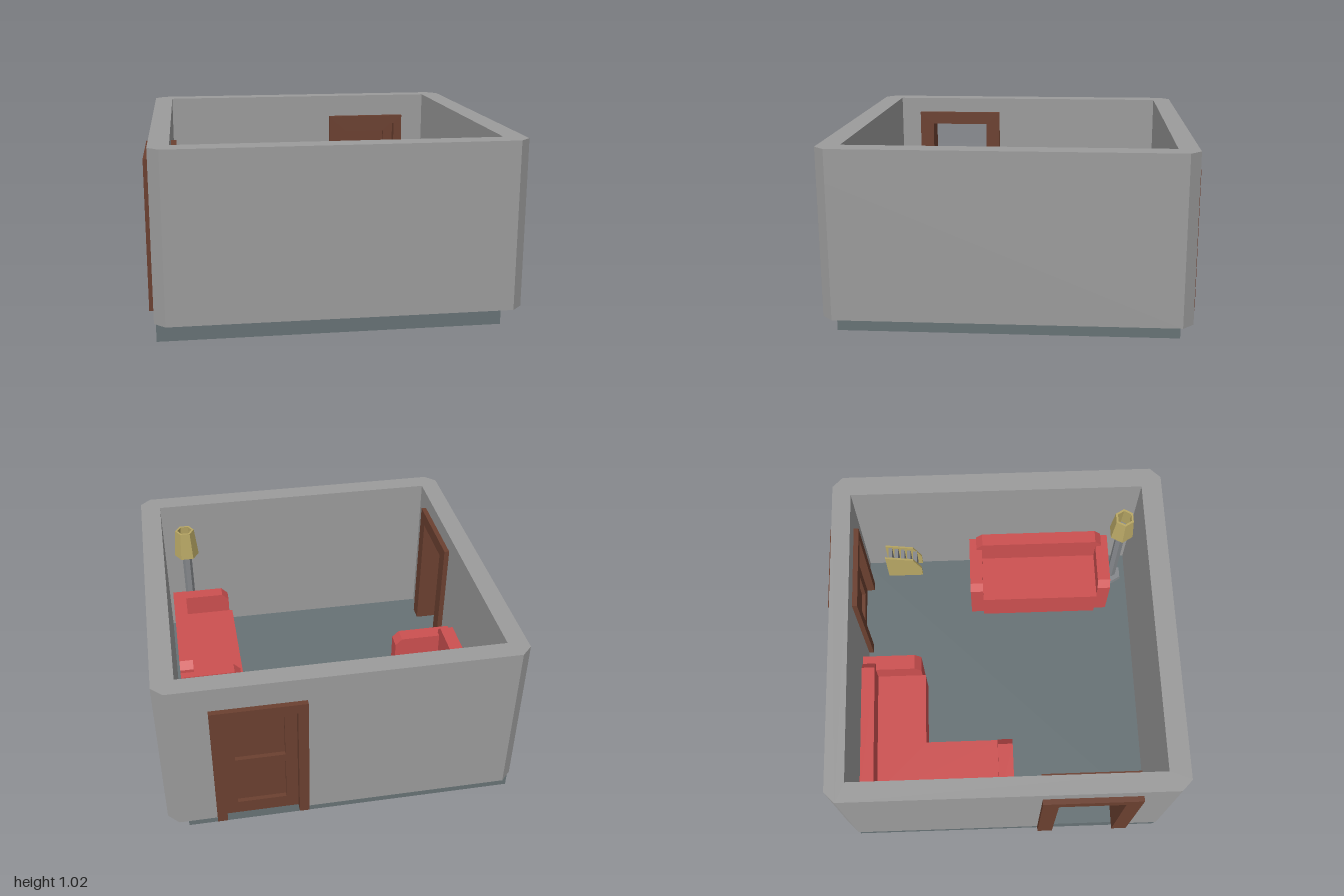
import * as THREE from 'three';

const material = (name, color, side = THREE.FrontSide) =>
  Object.assign(new THREE.MeshStandardMaterial({ color, side }), { name });

const FLOOR = 0.1;

export function createModel() {
  const model = new THREE.Group();
  const wallGrey = material('wallGrey', 0x9b9b9b);
  const floorSlate = material('floorSlate', 0x677275);
  const sofaRed = material('sofaRed', 0xcc5050);
  const doorBrown = material('doorBrown', 0x6b4030);
  const brass = material('brass', 0xb8a765, THREE.DoubleSide);
  const metalGrey = material('metalGrey', 0x85888c);

  const group = (name) => {
    const g = new THREE.Group();
    g.name = name;
    model.add(g);
    return g;
  };
  const add = (parent, name, geometry, mat) => {
    const m = new THREE.Mesh(geometry, mat);
    m.name = name;
    parent.add(m);
    return m;
  };
  // Box given by its limits on each axis
  const box = (parent, name, mat, [x0, x1], [y0, y1], [z0, z1]) => {
    const m = add(parent, name, new THREE.BoxGeometry(x1 - x0, y1 - y0, z1 - z0), mat);
    m.position.set((x0 + x1) / 2, (y0 + y1) / 2, (z0 + z1) / 2);
    return m;
  };
  const polygon = (pts) => new THREE.Shape(pts.map(([x, y]) => new THREE.Vector2(x, y)));
  const extrude = (shape, depth) => new THREE.ExtrudeGeometry(shape, { depth, bevelEnabled: false });
  // Floor-plan shape (x, z) raised between two heights
  const raise = (shape, y0, y1) => extrude(shape, y1 - y0).rotateX(Math.PI / 2).translate(0, y1, 0);
  // Upright profile running along x or z, with thickness t0..t1 across it
  const upright = (axis, shape, t0, t1) => {
    const g = extrude(shape, t1 - t0);
    return axis === 'x' ? g.translate(0, 0, t0) : g.rotateY(-Math.PI / 2).translate(t1, 0, 0);
  };

  // Floor slab
  box(model, 'floor', floorSlate, [-0.96, 0.89], [0, FLOOR], [-0.91, 0.94]);

  // Walls: two lower pieces around the doorways and a full ring above
  const walls = group('walls');
  const sill = 0.85;
  const lowerA = polygon([[0.7, -0.97], [0.94, -0.97], [1, -0.91], [1, 0.94], [0.94, 1], [-0.91, 1], [-0.97, 0.94],
    [-0.97, 0.7], [-0.86, 0.7], [-0.86, 0.88], [0.88, 0.88], [0.88, -0.86], [0.7, -0.86]]);
  const lowerB = polygon([[-0.97, 0.25], [-0.97, -0.91], [-0.91, -0.97], [0.25, -0.97],
    [0.25, -0.86], [-0.86, -0.86], [-0.86, 0.25]]);
  const ring = polygon([[0.94, -0.97], [1, -0.91], [1, 0.94], [0.94, 1], [-0.91, 1], [-0.97, 0.94],
    [-0.97, -0.91], [-0.91, -0.97]]);
  ring.holes.push(polygon([[-0.86, -0.86], [-0.86, 0.88], [0.88, 0.88], [0.88, -0.86]]));
  add(walls, 'lowerWallFront', raise(lowerA, FLOOR, sill), wallGrey);
  add(walls, 'lowerWallBack', raise(lowerB, FLOOR, sill), wallGrey);
  add(walls, 'upperWall', raise(ring, sill, 1.025), wallGrey);

  // Door frames
  const frameShape = (a, b, top, jamb, lintel) => polygon([[a, FLOOR], [a + jamb, FLOOR], [a + jamb, top - lintel],
    [b - jamb, top - lintel], [b - jamb, FLOOR], [b, FLOOR], [b, top], [a, top]]);
  add(model, 'openDoorFrame', upright('z', frameShape(0.2, 0.75, 0.93, 0.09, 0.08), -1, -0.83), doorBrown);
  const backDoor = group('backDoor');
  add(backDoor, 'doorFrame', upright('x', frameShape(0.22, 0.73, 0.885, 0.055, 0.055), -1, -0.83), doorBrown);

  // Door leaf: stiles and rails around two sunken panels
  const leaf = polygon([[0.27, FLOOR], [0.68, FLOOR], [0.68, 0.84], [0.27, 0.84]]);
  for (const [y0, y1] of [[0.18, 0.45], [0.5, 0.77]]) {
    leaf.holes.push(polygon([[0.34, y0], [0.34, y1], [0.61, y1], [0.61, y0]]));
    box(backDoor, 'doorPanel', doorBrown, [0.34, 0.61], [y0, y1], [-0.925, -0.905]);
  }
  add(backDoor, 'doorLeaf', upright('x', leaf, -0.95, -0.88), doorBrown);

  // Sofa cushion bar from a to b, with its top corners cut by ca and cb
  const bar = (parent, name, axis, [a, b], [t0, t1], top, ca, cb) => add(parent, name, upright(axis,
    polygon([[a, FLOOR], [b, FLOOR], [b, top - cb], [b - cb, top], [a + ca, top], [a, top - ca]]
      .filter(([x, y], i, p) => i < 2 || x !== p[i - 1][0] || y !== p[i - 1][1])), t0, t1), sofaRed);
  const backTop = 0.52, armTop = 0.46, seatTop = 0.33, cut = 0.04;

  // Corner sofa
  const corner = group('cornerSofa');
  add(corner, 'seat', raise(polygon([[-0.85, -0.85], [-0.03, -0.85], [-0.03, -0.47], [-0.47, -0.47],
    [-0.47, -0.03], [-0.85, -0.03]]), FLOOR, seatTop), sofaRed);
  for (const axis of ['x', 'z']) {
    bar(corner, 'backrest', axis, [-0.85, 0.005], [-0.85, -0.77], backTop, 0, cut);
    bar(corner, 'armrest', axis, [-0.85, -0.49], [-0.03, 0.06], armTop, 0, cut);
  }

  // Straight sofa
  const sofa = group('sofa');
  box(sofa, 'seat', sofaRed, [0.475, 0.855], [FLOOR, seatTop], [-0.09, 0.65]);
  bar(sofa, 'backrest', 'z', [-0.125, 0.685], [0.775, 0.855], backTop, cut, cut);
  for (const z of [-0.17, 0.65]) bar(sofa, 'armrest', 'x', [0.495, 0.855], [z, z + 0.08], armTop, cut, 0);

  // Floor lamp with six-sided parts
  const lamp = group('floorLamp');
  lamp.position.set(0.74, 0, 0.785);
  const hex = (name, rTop, rBottom, y0, y1, mat, open = false) => {
    const g = new THREE.CylinderGeometry(rTop, rBottom, y1 - y0, 6, 1, open).rotateY(Math.PI / 6).toNonIndexed();
    g.computeVertexNormals();
    // turn the points to lie along x
    add(lamp, name, g.rotateY(Math.PI / 3), mat).position.y = (y0 + y1) / 2;
  };
  hex('lampBase', 0.065, 0.07, FLOOR, 0.13, metalGrey);
  hex('lampPole', 0.03, 0.03, 0.13, 0.74, metalGrey);
  hex('lampDisc', 0.05, 0.05, 0.74, 0.76, metalGrey);
  hex('lampShadeOuter', 0.06, 0.078, 0.72, 0.9, brass, true);
  hex('lampShadeInner', 0.046, 0.064, 0.72, 0.9, brass, true);
  for (const [y, r] of [[0.9, 0.06], [0.72, 0.078]]) {
    add(lamp, 'shadeRim', new THREE.RingGeometry(r - 0.014, r, 6).rotateX(-Math.PI / 2), brass).position.y = y;
  }

  // Small slatted rack by the wall
  const rack = group('rack');
  const side = polygon([[-0.73, FLOOR], [-0.5, FLOOR], [-0.5, 0.2], [-0.55, 0.32], [-0.73, 0.36]]);
  for (const x of [0.78, 0.87]) add(rack, 'rackSide', upright('z', side, x, x + 0.013), brass);
  for (let i = 0; i < 5; i++) {
    const z = -0.7 + i * 0.04;
    box(rack, 'rackSlat', metalGrey, [0.793, 0.87], [0.14, 0.34 - i * 0.015], [z - 0.012, z + 0.012]);
  }
  return model;
}
